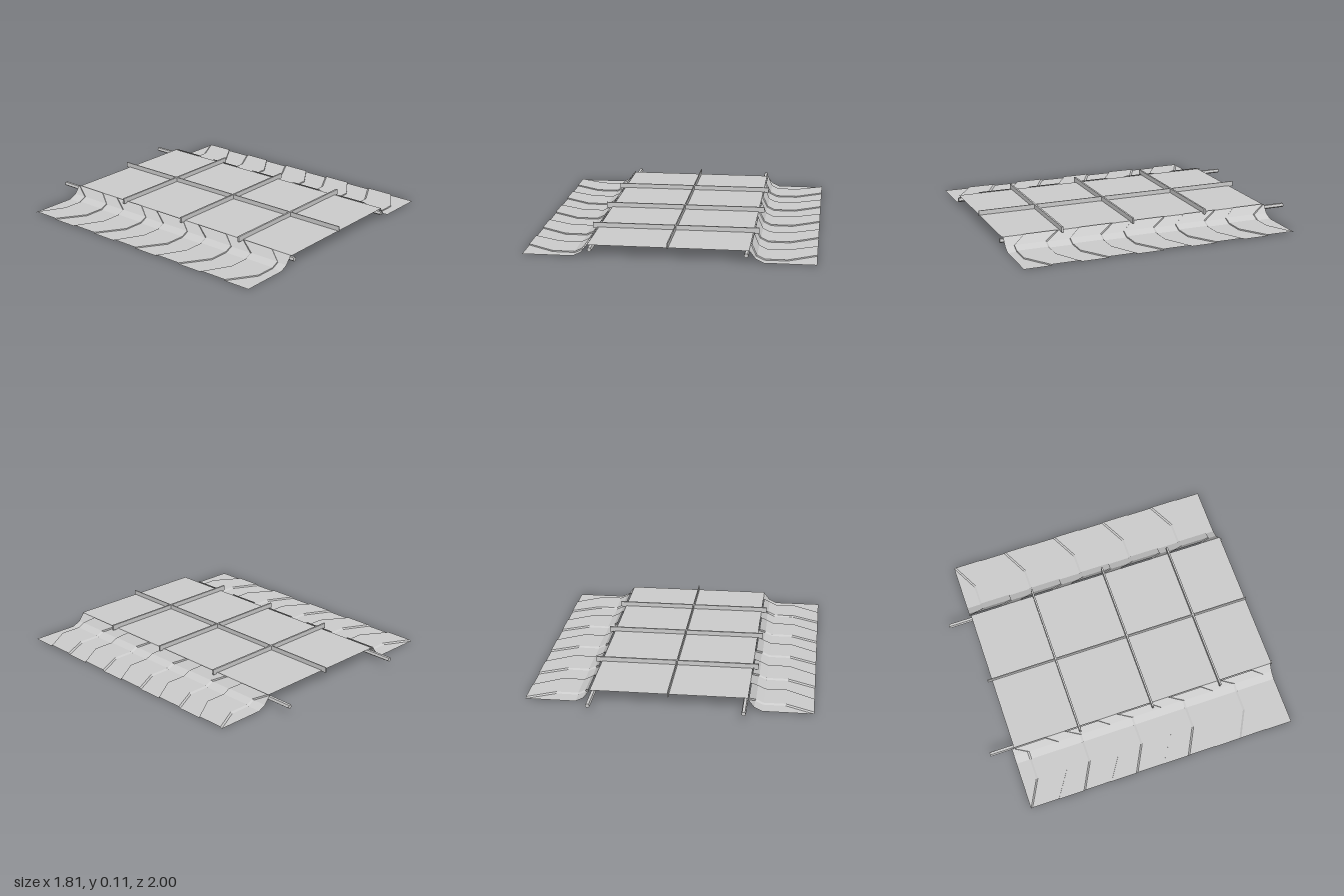
import * as THREE from 'three';

const material = new THREE.MeshStandardMaterial({ color: 0xcccccc, side: THREE.DoubleSide, flatShading: true });

function add(group, name, geometry, x = 0, y = 0, z = 0) {
  const mesh = new THREE.Mesh(geometry, material);
  mesh.name = name;
  mesh.position.set(x, y, z);
  group.add(mesh);
  return mesh;
}

// Columns across a side sheet: x, y, normal x, normal y, raised-edge chevron, trailing-edge chevron
const COLUMNS = [
  [0.495, 0.078, 0.82, 0.57, 0.00, 0.04],
  [0.535, 0.026, 0.62, 0.78, 0.093, 0.115],
  [0.585, 0.002, 0.25, 0.97, 0.093, 0.115],
  [0.725, 0.002, 0, 1, 0.093, 0.115],
  [0.903, 0.002, 0, 1, 0.00, 0.00],
];
const BACK = -0.853, FRONT = 0.982, PITCH = 0.3655, STEP = 0.008;

// Stepped side sheet: chevron bands alternate between low and raised
function sideSheet(side, shift) {
  const rows = [];
  const row = (zAt, height) => rows.push(COLUMNS.map((c) => [
    side * (c[0] + c[2] * height), c[1] + c[3] * height, Math.min(zAt(c), FRONT),
  ]));
  row(() => BACK + shift, 0);
  for (let i = 0; i < 5; i++) {
    const z = BACK + shift + i * PITCH;
    row((c) => z + c[4], 0);
    row((c) => z + 0.012 + c[4], STEP);
    row((c) => z + 0.193 + c[5], STEP);
    row((c) => z + 0.193 + c[5], 0);
  }
  row(() => FRONT, 0);

  const positions = rows.flat(2);
  const n = COLUMNS.length, index = [];
  for (let r = 0; r < rows.length - 1; r++) {
    for (let k = 0; k < n - 1; k++) {
      const a = r * n + k, b = a + 1, c = a + n, d = c + 1;
      if (side > 0) index.push(a, c, b, b, c, d);
      else index.push(a, b, c, b, d, c);
    }
  }
  const geometry = new THREE.BufferGeometry();
  geometry.setAttribute('position', new THREE.Float32BufferAttribute(positions, 3));
  geometry.setIndex(index);
  geometry.computeVertexNormals();
  return geometry;
}

export function createModel() {
  const model = new THREE.Group();
  model.name = 'ribbedPanel';

  // Flat centre deck
  const deck = new THREE.PlaneGeometry(0.99, 1.827).rotateX(-Math.PI / 2);
  add(model, 'deck', deck, 0, 0.078, 0.0765);

  // Lengthwise fin and cross ribs
  add(model, 'centreFin', new THREE.BoxGeometry(0.007, 0.036, 1.86), 0, 0.09, 0.063);
  for (const z of [-0.386, 0.125, 0.605]) {
    add(model, 'crossRib', new THREE.BoxGeometry(1.066, 0.036, 0.012), 0, 0.09, z);
  }

  // Stepped sheets and five-sided rails on both sides
  for (const side of [1, -1]) {
    const prefix = side > 0 ? 'left' : 'right';
    add(model, prefix + 'SideSheet', sideSheet(side, side > 0 ? 0.007 : 0));
    const rail = new THREE.CylinderGeometry(0.015, 0.015, 2, 5).rotateX(Math.PI / 2);
    add(model, prefix + 'Rail', rail, side * 0.479, 0.051, 0);
  }
  return model;
}
